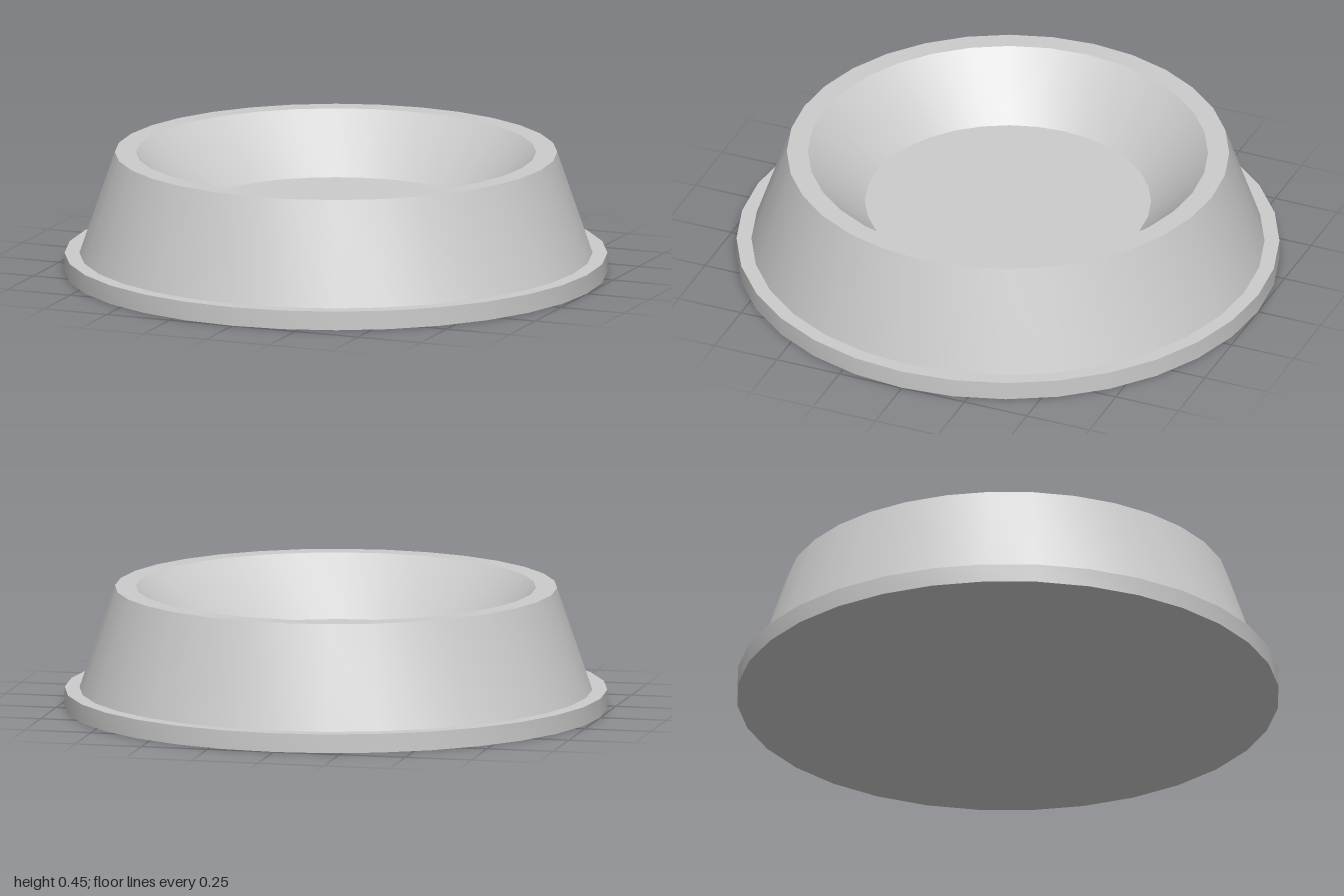
import * as THREE from 'three';
import { toCreasedNormals } from 'three/addons/utils/BufferGeometryUtils.js';

export function createModel() {
  const model = new THREE.Group();
  model.name = 'bowl';

  // Closed profile, from the centre of the underside round to the centre of the dish floor
  const profile = [
    [0, 0], [1, 0], // underside
    [1, 0.07], [0.945, 0.07], // foot flange
    [0.815, 0.45], // sloping outer wall
    [0.737, 0.45], // flat rim
    [0.527, 0.237], [0, 0.237], // dish wall and floor
  ].map(([r, y]) => new THREE.Vector2(r, y));

  // Smooth around the axis, sharp at every ring
  const geometry = toCreasedNormals(new THREE.LatheGeometry(profile, 32), 0.35);
  const body = new THREE.Mesh(geometry, new THREE.MeshStandardMaterial({ color: 0xcccccc }));
  body.name = 'bowlBody';
  model.add(body);

  return model;
}
